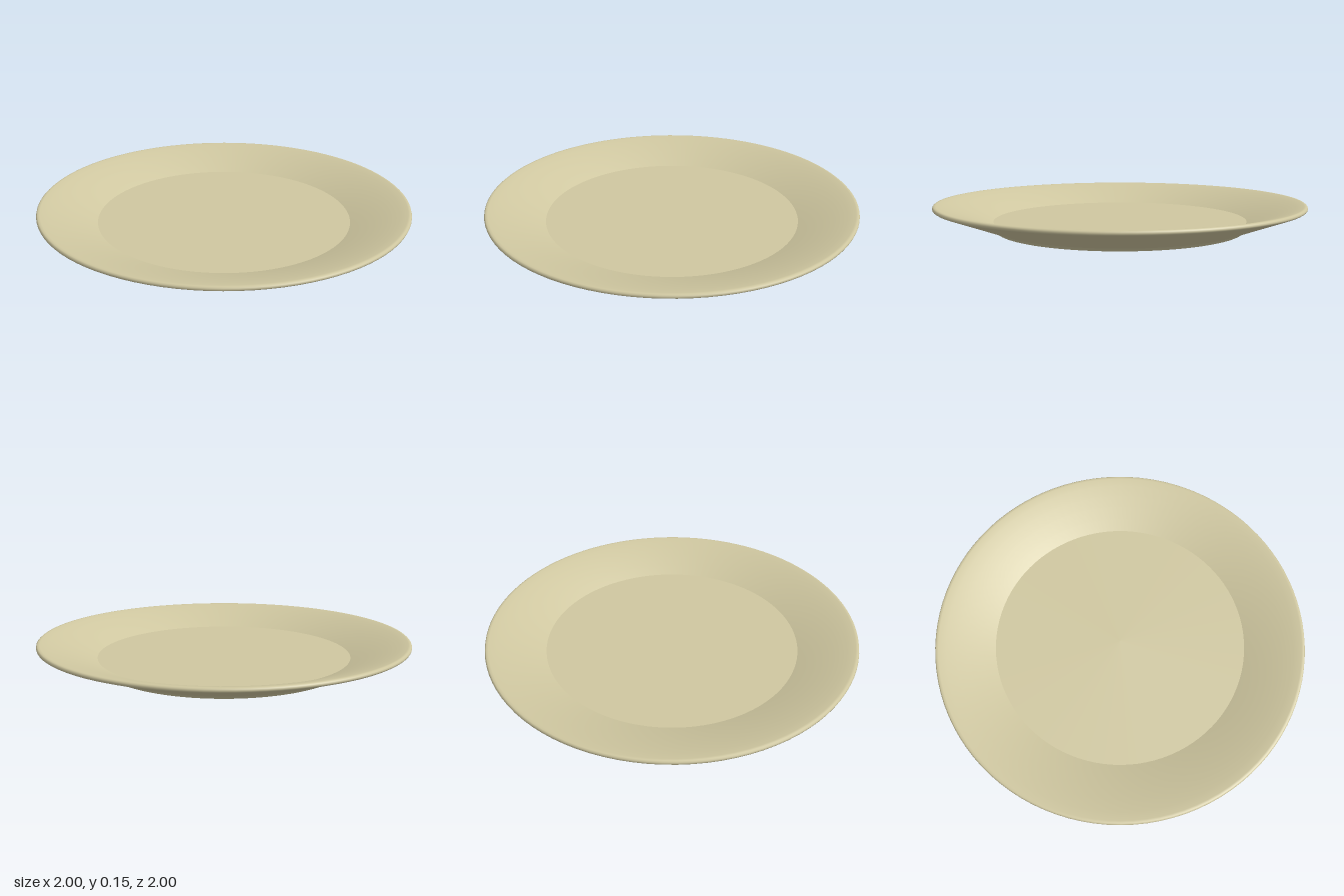
import * as THREE from 'three';

export function createModel() {
  const plate = new THREE.Group();
  plate.name = 'plate';
  const material = new THREE.MeshStandardMaterial({ color: 0xcfc7a0, side: THREE.DoubleSide });

  // Each band is smooth in itself; separate bands keep the creases between them sharp.
  const band = (name, profile) => {
    const points = profile.map(([r, y]) => new THREE.Vector2(r, y));
    const mesh = new THREE.Mesh(new THREE.LatheGeometry(points, 96), material);
    mesh.name = name;
    plate.add(mesh);
  };

  // Underside: recessed base inside a thin foot ring
  band('base', [[0, 0.015], [0.648, 0.015]]);
  band('footInside', [[0.648, 0.015], [0.66, 0]]);
  band('footRing', [[0.66, 0], [0.675, 0]]);
  band('footOutside', [[0.675, 0], [0.68, 0.006], [0.695, 0.017]]);

  // Flared outer wall
  band('outerWall', [[0.695, 0.017], [0.85, 0.075], [0.992, 0.128]]);

  // Rounded lip flowing into the gently curved inner wall
  band('rimAndInnerWall', [
    [0.992, 0.128], [0.998, 0.132], [1, 0.138], [0.998, 0.145], [0.992, 0.15], [0.98, 0.15],
    [0.94, 0.141], [0.88, 0.123], [0.82, 0.102], [0.75, 0.076], [0.688, 0.05],
  ]);

  // Flat eating surface
  band('floor', [[0.688, 0.05], [0, 0.05]]);

  return plate;
}
